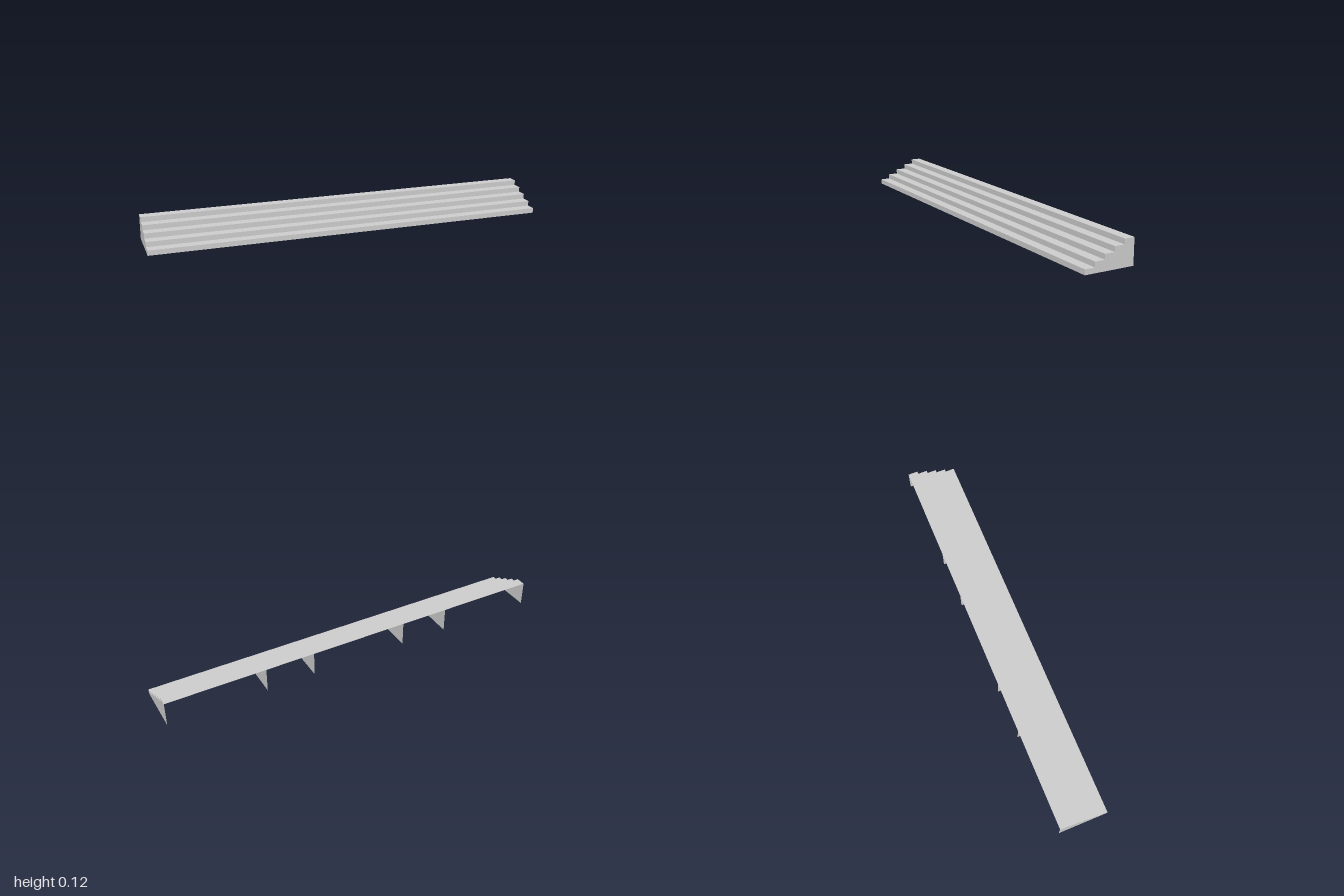
import * as THREE from 'three';

const LENGTH = 2, STEPS = 5, RISE = 0.025, RUN = 0.05;
const FRONT = (STEPS * RUN) / 2;

export function createModel() {
  const model = new THREE.Group();
  model.name = 'steppedStand';
  const material = new THREE.MeshStandardMaterial({
    color: 0xcccccc, flatShading: true, side: THREE.DoubleSide,
  });

  const add = (name, geometry, x, y, z) => {
    const mesh = new THREE.Mesh(geometry, material);
    mesh.name = name;
    mesh.position.set(x, y, z);
    model.add(mesh);
  };

  // Thin risers and treads, climbing from front to back
  const riser = new THREE.PlaneGeometry(LENGTH, RISE);
  const tread = new THREE.PlaneGeometry(LENGTH, RUN).rotateX(-Math.PI / 2);
  for (let i = 0; i < STEPS; i++) {
    const z = FRONT - i * RUN;
    add(`riser${i + 1}`, riser, 0, (i + 0.5) * RISE, z);
    add(`tread${i + 1}`, tread, 0, (i + 1) * RISE, z - RUN / 2);
  }

  // Stepped support panels: the shape's x runs towards the back
  const profile = new THREE.Shape().moveTo(-FRONT, 0);
  for (let i = 0; i < STEPS; i++) {
    profile.lineTo(-FRONT + i * RUN, (i + 1) * RISE);
    profile.lineTo(-FRONT + (i + 1) * RUN, (i + 1) * RISE);
  }
  profile.lineTo(FRONT, 0);
  profile.closePath();
  const panel = new THREE.ShapeGeometry(profile).rotateY(Math.PI / 2);

  // Two ends and two inner pairs
  for (const x of [0.25, 0.5, 1]) {
    const name = x === 1 ? 'endPanel' : 'innerPanel';
    add(`${name}Left`, panel, x, 0, 0);
    add(`${name}Right`, panel, -x, 0, 0);
  }

  return model;
}
